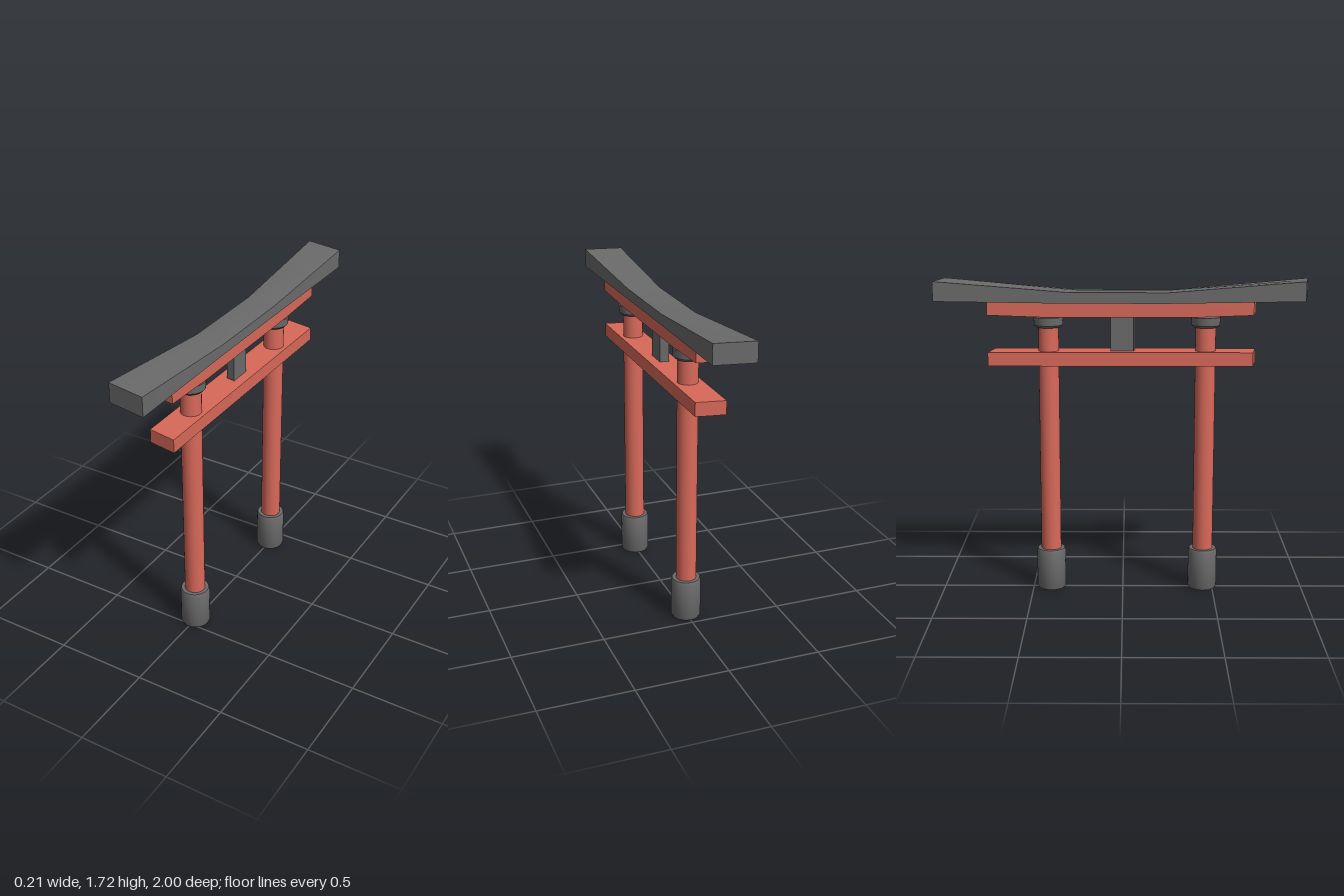
import * as THREE from 'three';
import { toCreasedNormals } from 'three/addons/utils/BufferGeometryUtils.js';

const red = new THREE.MeshStandardMaterial({ color: 0xd9695a });
const grey = new THREE.MeshStandardMaterial({ color: 0x6b6b6b });
const SHEAR = 0.17; // beams have slanted ends

function add(parent, name, geometry, material) {
  const mesh = new THREE.Mesh(geometry, material);
  mesh.name = name;
  parent.add(mesh);
  return mesh;
}

// Beam along z from stations [z, halfWidth, bottom, topEdge, topRidge]
function beam(stations) {
  const pos = [], index = [];
  for (const [z, w, bottom, edge, ridge] of stations) {
    const section = [[-w, bottom], [w, bottom], [w, edge], [0, ridge], [-w, edge]];
    for (const [x, y] of section) pos.push(x, y, z + SHEAR * x);
  }
  const n = 5, last = (stations.length - 1) * n;
  for (let s = 0; s < last; s += n) {
    for (let i = 0; i < n; i++) {
      const a = s + i, b = s + (i + 1) % n;
      index.push(a, b, b + n, a, b + n, a + n);
    }
  }
  // End caps
  for (let i = 1; i < n - 1; i++) {
    index.push(0, i + 1, i, last, last + i, last + i + 1);
  }
  const g = new THREE.BufferGeometry();
  g.setAttribute('position', new THREE.Float32BufferAttribute(pos, 3));
  g.setIndex(index);
  return toCreasedNormals(g, 0.5);
}

// Turned part from [radius, y] points
function turned(points) {
  const g = new THREE.LatheGeometry(points.map(([r, y]) => new THREE.Vector2(r, y)), 24);
  return toCreasedNormals(g, 0.6);
}

export function createModel() {
  const model = new THREE.Group();
  model.name = 'gate';

  // Two pillars, each with a stone foot and a collar
  const foot = turned([[0, 0], [0.074, 0], [0.08, 0.012], [0.08, 0.215], [0.075, 0.23], [0, 0.23]]);
  const shaft = turned([[0, 0.2], [0.055, 0.2], [0.055, 1.5], [0, 1.5]]);
  const collar = turned([[0, 1.47], [0.066, 1.47], [0.077, 1.482], [0.08, 1.525], [0, 1.525]]);
  for (const z of [0.445, -0.4]) {
    const pillar = new THREE.Group();
    pillar.name = z > 0 ? 'frontPillar' : 'backPillar';
    pillar.position.z = z;
    add(pillar, 'foot', foot, grey);
    add(pillar, 'shaft', shaft, red);
    add(pillar, 'collar', collar, grey);
    model.add(pillar);
  }

  // Straight tie beam
  add(model, 'tieBeam', beam([-0.708, 0.708].map(z => [z, 0.077, 1.268, 1.342, 1.342])), red);

  // Upper beam, rising slightly to its ends
  add(model, 'upperBeam', beam([
    [-0.708, 0.077, 1.541, 1.618, 1.618],
    [-0.4, 0.077, 1.53, 1.61, 1.61],
    [0.4, 0.077, 1.53, 1.61, 1.61],
    [0.708, 0.077, 1.541, 1.618, 1.618],
  ]), red);

  // Top lintel, wider and swept up toward the ends
  add(model, 'topLintel', beam([
    [-0.983, 0.105, 1.617, 1.722, 1.722],
    [-0.26, 0.086, 1.604, 1.662, 1.668],
    [0.26, 0.086, 1.604, 1.662, 1.668],
    [0.983, 0.105, 1.617, 1.722, 1.722],
  ]), grey);

  // Short centre strut between the beams
  add(model, 'centreStrut', beam([-0.061, 0.061].map(z => [z, 0.024, 1.33, 1.54, 1.54])), grey);

  return model;
}
